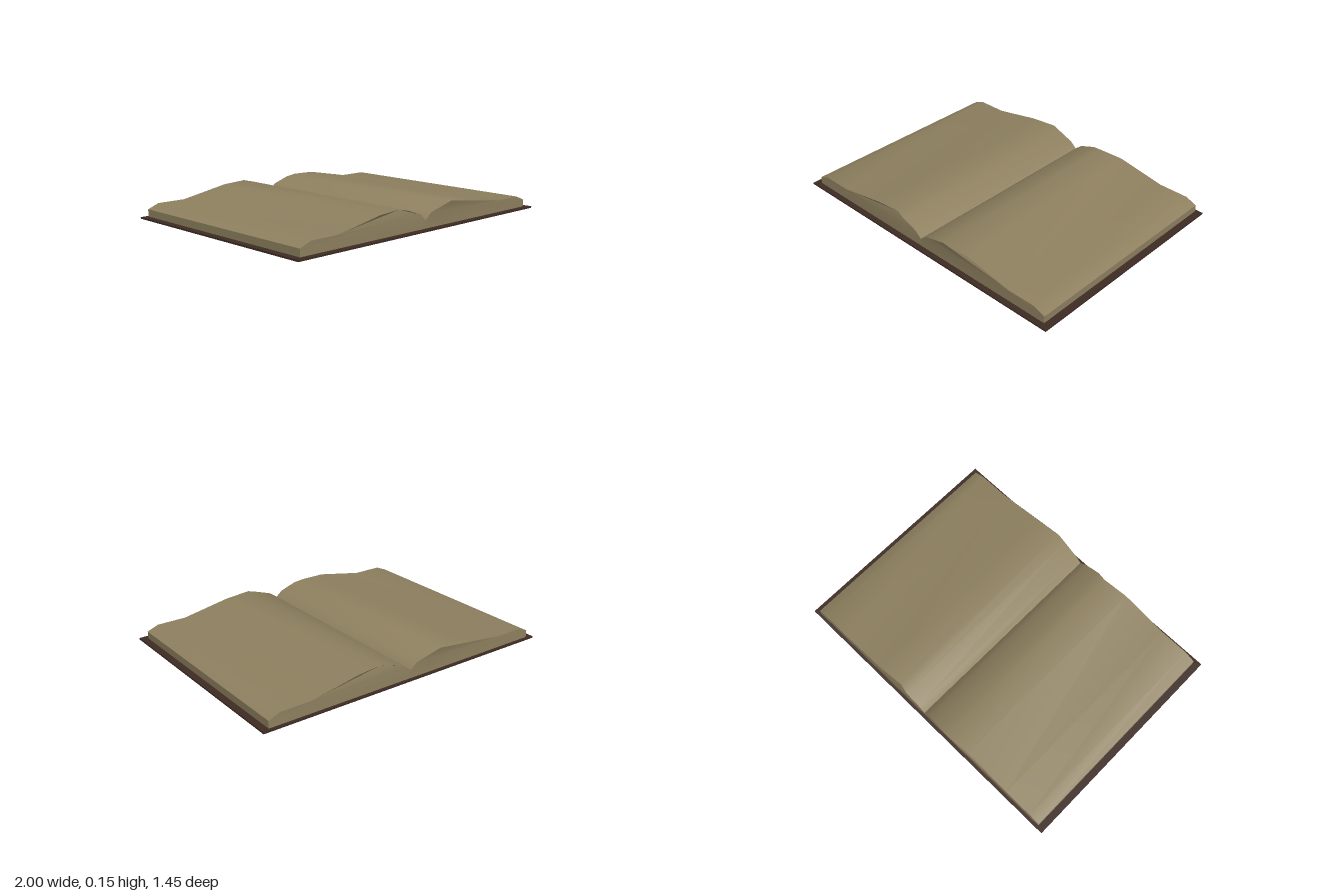
import * as THREE from 'three';
import { toCreasedNormals } from 'three/addons/utils/BufferGeometryUtils.js';

// Page-block outline from the spine out to the fore edge: [distance from spine, height]
const PROFILE = [
  [0, 0.06], [0.045, 0.098], [0.15, 0.134], [0.21, 0.148], [0.38, 0.142],
  [0.695, 0.084], [0.885, 0.084], [0.957, 0.055],
];
const COVER_TOP = 0.01;

function pageBlock(side) {
  const shape = new THREE.Shape();
  shape.moveTo(0, COVER_TOP);
  for (const [x, y] of PROFILE) shape.lineTo(side * x, y);
  shape.lineTo(side * 0.957, COVER_TOP);
  shape.closePath();

  const geo = new THREE.ExtrudeGeometry(shape, { depth: 1.398, bevelEnabled: false });
  geo.translate(0, 0, -0.708);

  // The crest of each half slips slightly, in opposite directions
  const pos = geo.attributes.position;
  for (let i = 0; i < pos.count; i++) {
    if (pos.getY(i) > 0.145) pos.setZ(i, pos.getZ(i) + side * 0.014);
  }
  geo.deleteAttribute('uv');
  return toCreasedNormals(geo, THREE.MathUtils.degToRad(35));
}

export function createModel() {
  const paper = new THREE.MeshStandardMaterial({ color: 0x8f8160 });
  paper.name = 'aged paper';
  const leather = new THREE.MeshStandardMaterial({ color: 0x3e2c24 });
  leather.name = 'dark leather';

  const book = new THREE.Group();
  book.name = 'openBook';

  // Flat cover
  const cover = new THREE.Mesh(new THREE.BoxGeometry(2, COVER_TOP, 1.452), leather);
  cover.position.y = COVER_TOP / 2;
  cover.name = 'cover';
  book.add(cover);

  // Two curved halves of pages
  for (const side of [1, -1]) {
    const pages = new THREE.Mesh(pageBlock(side), paper);
    pages.name = side > 0 ? 'leftPages' : 'rightPages';
    book.add(pages);
  }
  return book;
}
